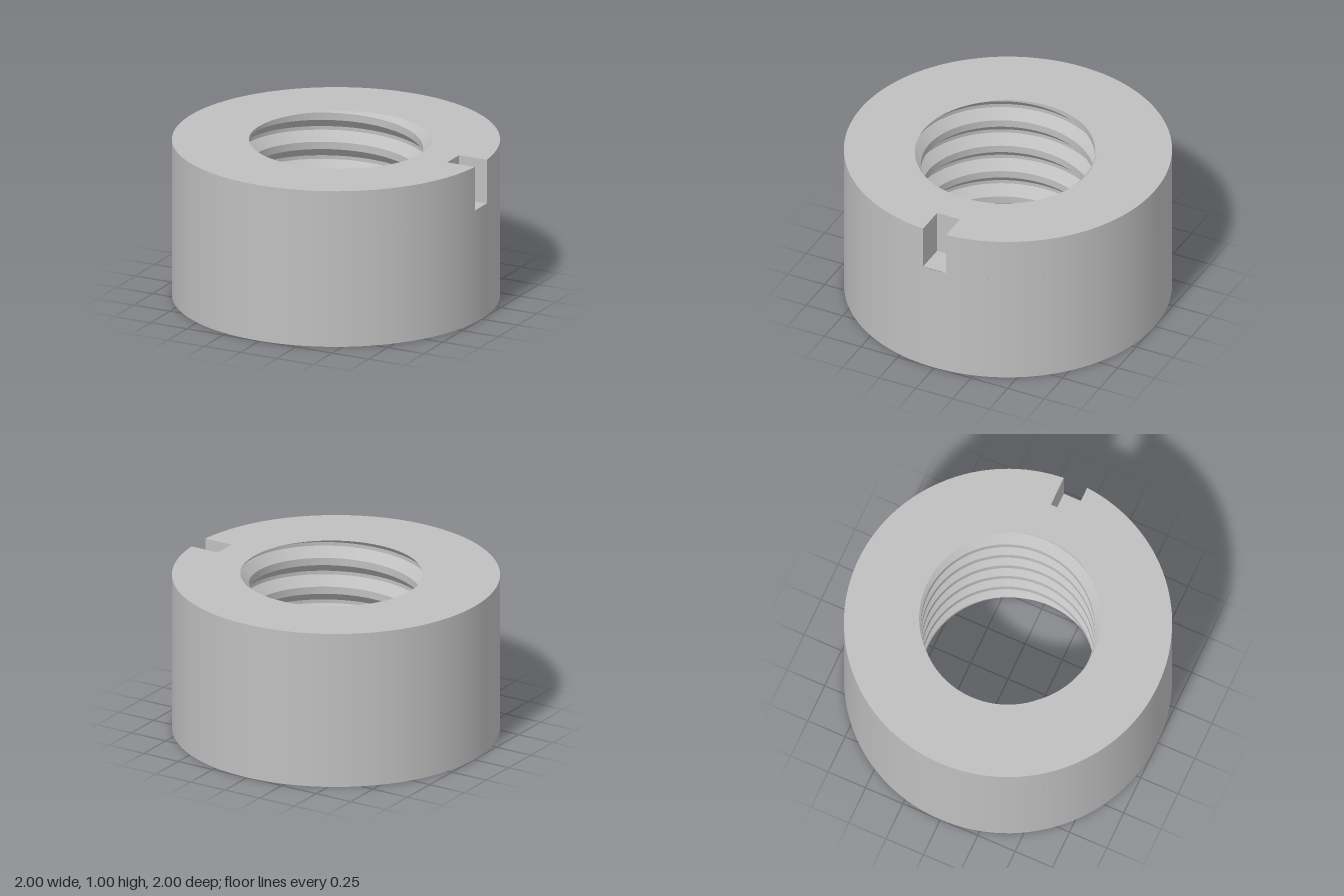
import * as THREE from 'three';

const SEG = 128;             // segments per turn
const OUTER = 1, HEIGHT = 1;
const MINOR = 0.53, MAJOR = 0.588, PITCH = 0.1875;
const SLOT = { x: 0.807, half: 0.078, y: 0.72 };
const slotAngle = Math.asin(SLOT.half / OUTER);
const slotEdge = Math.cos(slotAngle);

// Bore radius at a height and an angle (counter-clockwise seen from above)
function boreRadius(y, angle) {
  const u = (y - HEIGHT) / PITCH - angle / (2 * Math.PI);
  const f = Math.abs(u - Math.round(u));
  const t = THREE.MathUtils.clamp((f - 1 / 16) / (3 / 8 - 1 / 16), 0, 1);
  return THREE.MathUtils.lerp(MAJOR, MINOR, t);
}

// One helical band of the thread, trimmed to the end faces
function threadBand(u0, u1) {
  const positions = [], index = [], heights = [];
  const turns = Math.ceil(HEIGHT / PITCH) + 2;
  for (let i = 0; i <= turns * SEG; i++) {
    const turn = i / SEG - turns + 1;
    const a = turn * 2 * Math.PI;
    const pair = [u0, u1].map((u) => THREE.MathUtils.clamp(HEIGHT + PITCH * (u + turn), 0, HEIGHT));
    for (const y of pair) {
      const r = boreRadius(y, a);
      positions.push(r * Math.cos(a), y, -r * Math.sin(a));
    }
    heights.push(pair[1] - pair[0]);
    if (i > 0 && (heights[i] > 1e-6 || heights[i - 1] > 1e-6)) {
      const lo = 2 * i - 2, hi = lo + 1, lo2 = lo + 2, hi2 = lo + 3;
      index.push(lo, hi, lo2, hi, hi2, lo2);
    }
  }
  const g = new THREE.BufferGeometry();
  g.setAttribute('position', new THREE.Float32BufferAttribute(positions, 3));
  g.setIndex(index);
  g.computeVertexNormals();
  return g;
}

// Flat end face with the bore cut out; sign = 1 for top, -1 for bottom
function endFace(y, sign, slotted) {
  const outline = [], hole = [];
  const start = slotted ? slotAngle : 0;
  for (let i = 0; i <= SEG; i++) {
    const a = start + (i / SEG) * 2 * (Math.PI - start);
    if (slotted || i < SEG) outline.push(new THREE.Vector2(OUTER * Math.cos(a), sign * OUTER * Math.sin(a)));
  }
  if (slotted) {
    outline.push(new THREE.Vector2(SLOT.x, -SLOT.half), new THREE.Vector2(SLOT.x, SLOT.half));
  }
  for (let i = 0; i < SEG; i++) {
    const a = (i / SEG) * 2 * Math.PI;
    const r = boreRadius(y, a);
    hole.push(new THREE.Vector2(r * Math.cos(a), sign * r * Math.sin(a)));
  }
  const shape = new THREE.Shape(outline);
  shape.holes.push(new THREE.Path(hole));
  return new THREE.ShapeGeometry(shape).rotateX(-sign * Math.PI / 2).translate(0, y, 0);
}

export function createModel() {
  const group = new THREE.Group();
  const steel = new THREE.MeshStandardMaterial({ color: 0xbfbfbf });
  steel.name = 'steel grey';
  const add = (name, geometry) => {
    const mesh = new THREE.Mesh(geometry, steel);
    mesh.name = name;
    group.add(mesh);
  };

  // Outer wall: full ring below the slot, open arc beside it
  const upper = HEIGHT - SLOT.y;
  add('lowerOuterWall', new THREE.CylinderGeometry(OUTER, OUTER, SLOT.y, SEG, 1, true)
    .translate(0, SLOT.y / 2, 0));
  add('upperOuterWall', new THREE.CylinderGeometry(OUTER, OUTER, upper, SEG, 1, true,
    Math.PI / 2 + slotAngle, 2 * (Math.PI - slotAngle)).translate(0, SLOT.y + upper / 2, 0));

  // End faces
  add('topFace', endFace(HEIGHT, 1, true));
  add('bottomFace', endFace(0, -1, false));

  // Slot floor, back and two sides
  const depth = slotEdge - SLOT.x, midX = (slotEdge + SLOT.x) / 2, midY = SLOT.y + upper / 2;
  add('slotFloor', new THREE.PlaneGeometry(depth, 2 * SLOT.half)
    .rotateX(-Math.PI / 2).translate(midX, SLOT.y, 0));
  add('slotBack', new THREE.PlaneGeometry(2 * SLOT.half, upper)
    .rotateY(Math.PI / 2).translate(SLOT.x, midY, 0));
  for (const side of [1, -1]) {
    add(side > 0 ? 'slotFrontSide' : 'slotRearSide', new THREE.PlaneGeometry(depth, upper)
      .rotateY(side > 0 ? Math.PI : 0).translate(midX, midY, side * SLOT.half));
  }

  // Internal thread: root, upper flank, crest, lower flank
  const edges = [-1 / 16, 1 / 16, 3 / 8, 5 / 8, 15 / 16];
  ['threadRoot', 'threadUpperFlank', 'threadCrest', 'threadLowerFlank'].forEach((name, i) =>
    add(name, threadBand(edges[i], edges[i + 1])));

  return group;
}
